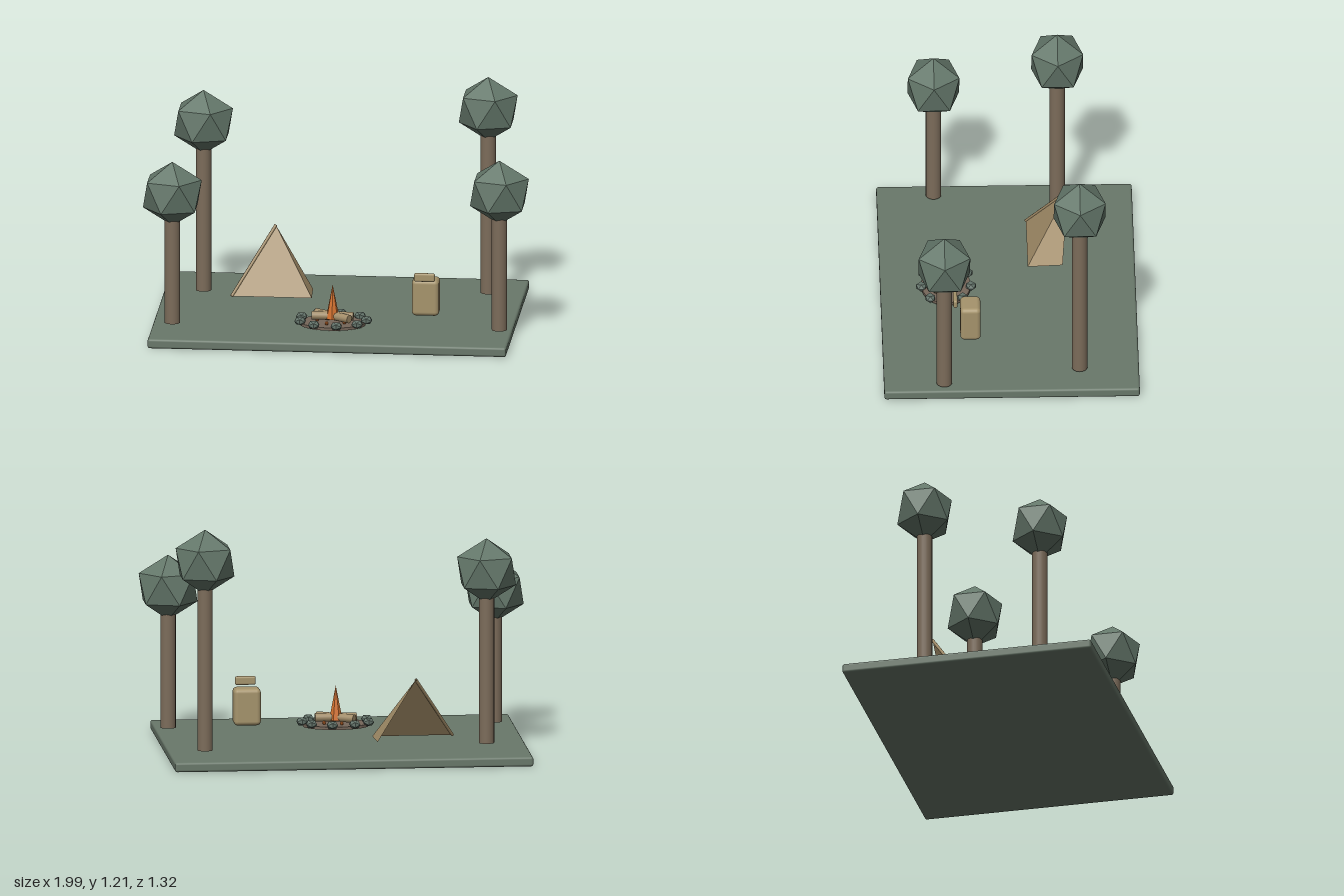
import * as THREE from 'three';
import { RoundedBoxGeometry } from 'three/addons/geometries/RoundedBoxGeometry.js';

const mat = (name, color, extra = {}) => {
  const m = new THREE.MeshStandardMaterial({ color, ...extra });
  m.name = name;
  return m;
};

export function createModel() {
  const model = new THREE.Group();
  model.name = 'campsite';

  const grass = mat('grass green', 0x69786a);
  const leaf = mat('leaf green', 0x64776a, { flatShading: true });
  const bark = mat('bark brown', 0x7c6c5a);
  const canvas = mat('canvas tan', 0xa38d68, { side: THREE.DoubleSide });
  const packTan = mat('pack tan', 0xa6946c);
  const wood = mat('log tan', 0xa18c68);
  const ash = mat('ash brown', 0x76675a);
  const stone = mat('stone grey green', 0x64746b, { flatShading: true });
  const fire = mat('flame orange', 0xd2712f, { flatShading: true });

  const add = (parent, name, geometry, material, x = 0, y = 0, z = 0) => {
    const mesh = new THREE.Mesh(geometry, material);
    mesh.name = name;
    mesh.position.set(x, y, z);
    parent.add(mesh);
    return mesh;
  };
  const group = (name, x = 0, y = 0, z = 0) => {
    const g = new THREE.Group();
    g.name = name;
    g.position.set(x, y, z);
    model.add(g);
    return g;
  };

  // Ground slab with softened edges
  add(model, 'ground', new RoundedBoxGeometry(1.854, 0.05, 1.316, 3, 0.012), grass, -0.023, 0.025, 0);

  // Trees: a plain trunk with an icosahedron crown standing on one corner
  const crownGeo = new THREE.IcosahedronGeometry(0.17, 0);
  crownGeo.rotateZ(-Math.atan(1 / ((1 + Math.sqrt(5)) / 2)));
  crownGeo.scale(1, 1, 0.92);
  const trees = [
    [-0.848, 0.365, 0.75],
    [-0.745, -0.27, 0.96],
    [0.72, -0.352, 1.044],
    [0.842, 0.348, 0.795],
  ];
  for (const [x, z, crownY] of trees) {
    const tree = group('tree', x, 0, z);
    const bottom = 0.062;
    const height = crownY - bottom;
    add(tree, 'trunk', new THREE.CylinderGeometry(0.04, 0.04, height, 20), bark, 0, bottom + height / 2, 0);
    add(tree, 'crown', crownGeo, leaf, 0, crownY, 0);
  }

  // Tent: two canvas panels, open at the back, with a rolled left edge
  const tent = group('tent');
  const apex = new THREE.Vector3(-0.375, 0.405, -0.315);
  const frontLeft = new THREE.Vector3(-0.585, 0.077, -0.105);
  const frontRight = new THREE.Vector3(-0.17, 0.077, -0.105);
  const backRight = new THREE.Vector3(-0.18, 0.077, -0.285);
  const panel = (name, a, b, c) => {
    const g = new THREE.BufferGeometry().setFromPoints([a, b, c]);
    g.computeVertexNormals();
    add(tent, name, g, canvas);
  };
  panel('frontPanel', frontLeft, frontRight, apex);
  panel('sidePanel', frontRight, backRight, apex);
  const edge = new THREE.LineCurve3(frontLeft, apex);
  add(tent, 'rolledEdge', new THREE.TubeGeometry(edge, 1, 0.008, 8), canvas);

  // Backpack: rounded body with a flap held forward above it
  const pack = group('backpack', 0.449, 0, 0);
  add(pack, 'packBody', new RoundedBoxGeometry(0.14, 0.192, 0.105, 4, 0.022), packTan, 0, 0.192, 0.205);
  add(pack, 'packFlap', new RoundedBoxGeometry(0.108, 0.045, 0.022, 3, 0.01), packTan, 0, 0.312, 0.283);

  // Campfire, arranged on an oval bed of ash
  const camp = group('campfire', -0.023, 0, 0.32);
  add(camp, 'ashBed', new THREE.CylinderGeometry(0.17, 0.17, 0.015, 32), ash, 0, 0.068, 0).scale.z = 0.75;

  // Ring of nine stones
  const stoneGeo = new THREE.IcosahedronGeometry(0.03, 0);
  for (let i = 0; i < 9; i++) {
    const a = (i / 9) * Math.PI * 2;
    const s = add(camp, 'stone', stoneGeo, stone, Math.cos(a) * 0.175, 0.086, Math.sin(a) * 0.13);
    s.scale.set(1.1, 0.8, 1);
  }

  // Crossed logs
  const logGeo = new THREE.CylinderGeometry(0.022, 0.022, 0.215, 14);
  logGeo.rotateZ(Math.PI / 2);
  for (const angle of [0, -0.56]) {
    add(camp, 'log', logGeo, wood, 0, 0.106, 0).rotation.y = angle;
  }

  // Flame and five embers
  add(camp, 'flame', new THREE.ConeGeometry(0.036, 0.18, 7), fire, 0, 0.182, 0);
  const emberGeo = new THREE.IcosahedronGeometry(0.011, 0);
  for (let i = 0; i < 5; i++) {
    const a = Math.PI * (0.2 + 0.4 * i);
    add(camp, 'ember', emberGeo, fire, Math.cos(a) * 0.08, 0.085, Math.sin(a) * 0.073);
  }

  return model;
}
